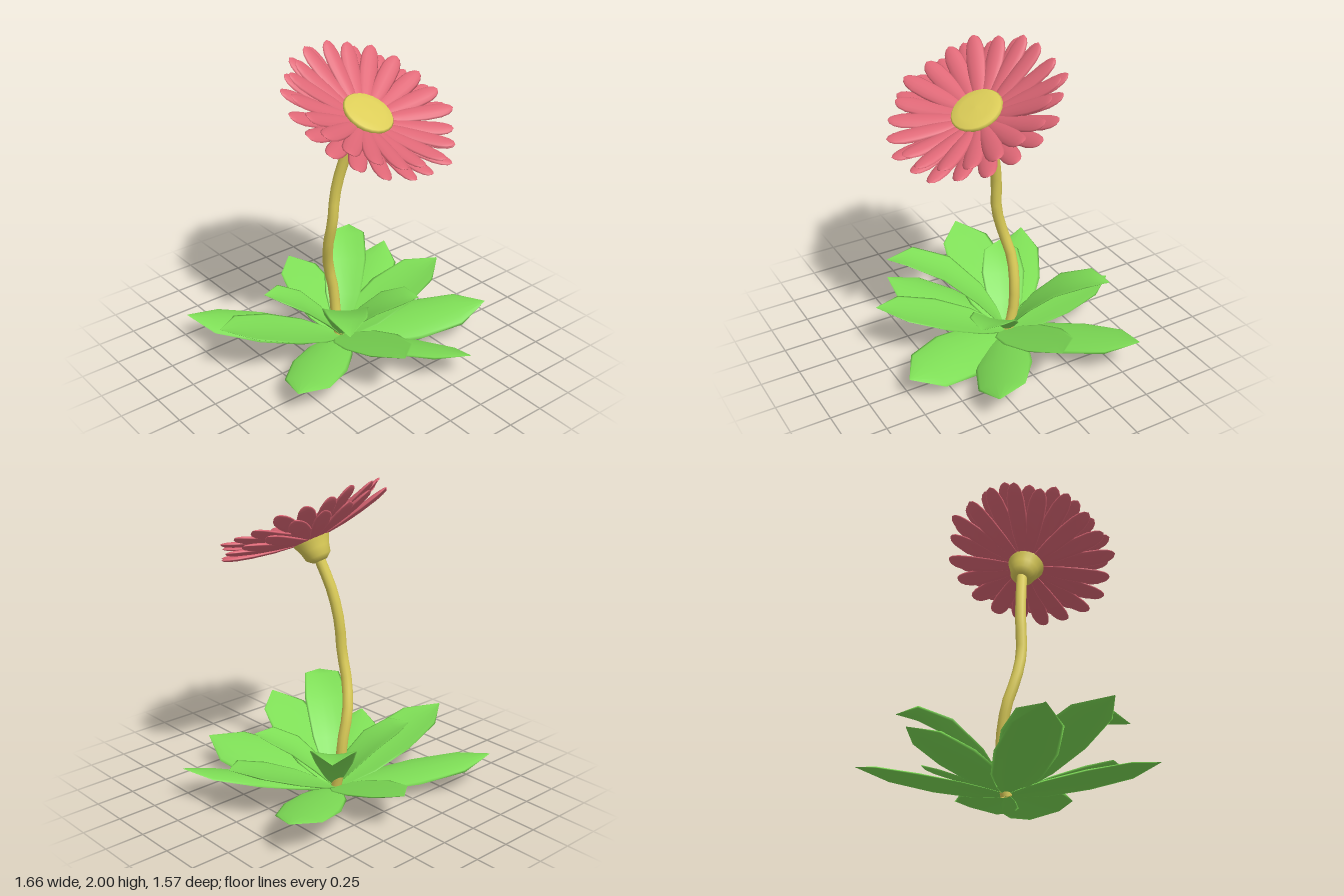
import * as THREE from 'three';

const paint = (color) => new THREE.MeshStandardMaterial({ color, side: THREE.DoubleSide });
const GREEN = paint(0x7ede56), PINK = paint(0xe06877), YELLOW = paint(0xdccd58);
const V = (x, y, z) => new THREE.Vector3(x, y, z);

function addMesh(parent, name, geometry, material) {
  const mesh = new THREE.Mesh(geometry, material);
  mesh.name = name;
  parent.add(mesh);
  return mesh;
}

// Lens-shaped cross-sections swept along a curve.
// profile: [t, halfWidth] stops; cup raises the edges; thick is the half thickness; roll banks the blade.
function blade(curve, profile, { scale = 1, cup, thick, roll = 0, sides = 14 }) {
  const pos = [], index = [];
  const widest = Math.max(...profile.map((p) => p[1]));
  for (const [t, width] of profile) {
    const p = curve.getPoint(t), dir = curve.getTangent(t);
    const side = V(0, 1, 0).cross(dir).normalize().applyAxisAngle(dir, roll);
    const normal = dir.clone().cross(side).normalize();
    const w = width * scale, k = width / widest;
    for (let j = 0; j < sides; j++) {
      const a = (j / sides) * Math.PI * 2, u = Math.cos(a);
      const q = p.clone().addScaledVector(side, u * w)
        .addScaledVector(normal, Math.sin(a) * thick * k + cup * k * u * u);
      pos.push(q.x, q.y, q.z);
    }
  }
  for (let i = 0; i < profile.length - 1; i++) {
    for (let j = 0; j < sides; j++) {
      const a = i * sides + j, b = i * sides + (j + 1) % sides;
      index.push(a, b, a + sides, b, b + sides, a + sides);
    }
  }
  const g = new THREE.BufferGeometry();
  g.setAttribute('position', new THREE.Float32BufferAttribute(pos, 3));
  g.setIndex(index);
  g.computeVertexNormals();
  return g;
}

const LEAF = [[0, 0.002], [0.02, 0.035], [0.1, 0.085], [0.25, 0.145], [0.52, 0.177], [0.81, 0.142], [1, 0.003]];
const PETAL = [[0, 0.004], [0.03, 0.03], [0.3, 0.05], [0.6, 0.059], [0.8, 0.056], [0.91, 0.044], [0.97, 0.027], [1, 0.001]];

// Each leaf: tip, width scale, cup, how far the middle arches above the straight line, roll
const LEAVES = {
  flatLeaf: [
    { tip: [-0.77, 0.2, -0.67], scale: 1, cup: -0.03, arch: 0.02, roll: 0 },
    { tip: [-0.69, 0.18, 0.43], scale: 1, cup: -0.03, arch: 0.03, roll: 0 },
    { tip: [0.37, 0.18, 0.78], scale: 1.08, cup: -0.03, arch: 0.03, roll: -0.3 },
    { tip: [0.83, 0.22, 0.43], scale: 1, cup: -0.03, arch: 0.02, roll: 0.22 },
    { tip: [0.81, 0.24, -0.57], scale: 1, cup: -0.02, arch: 0, roll: 0 },
  ],
  risingLeaf: [
    { tip: [-0.83, 0.37, -0.17], scale: 1.13, cup: 0.03, arch: 0, roll: 0 },
    { tip: [-0.15, 0.37, 0.75], scale: 1.05, cup: 0.03, arch: 0, roll: 0 },
    { tip: [0.8, 0.36, -0.01], scale: 1.13, cup: 0.03, arch: 0, roll: 0 },
    { tip: [0.13, 0.26, -0.79], scale: 0.95, cup: 0.02, arch: 0, roll: 0 },
  ],
  archedLeaf: [
    { tip: [-0.4, 0.52, 0.55], scale: 0.8, cup: 0.03, arch: 0.34, roll: 0 },
    { tip: [0.48, 0.49, -0.56], scale: 0.8, cup: 0.03, arch: 0.26, roll: 0 },
    { tip: [-0.42, 0.4, -0.29], scale: 0.8, cup: 0.03, arch: 0.14, roll: 0 },
    { tip: [0.37, 0.36, 0.29], scale: 0.8, cup: 0.03, arch: 0.14, roll: 0 },
  ],
};

function buildLeaves() {
  const leaves = new THREE.Group();
  leaves.name = 'leaves';
  const root = V(0.03, 0.02, -0.08);
  for (const [name, list] of Object.entries(LEAVES)) {
    for (const { tip, scale, cup, arch, roll } of list) {
      const end = V(...tip);
      const mid = root.clone().lerp(end, 0.5);
      mid.y += arch;
      const path = new THREE.QuadraticBezierCurve3(root, mid, end);
      addMesh(leaves, name, blade(path, LEAF, { scale, cup, thick: 0.012, roll }), GREEN);
    }
  }
  return leaves;
}

function buildFlowerHead() {
  const head = new THREE.Group();
  head.name = 'flowerHead';
  // Cup under the petals and the flat centre disc
  const cup = [[0, -0.225], [0.045, -0.22], [0.08, -0.19], [0.092, -0.14], [0.11, -0.1], [0.125, -0.06]];
  const disc = [[0.1, -0.06], [0.148, -0.03], [0.16, -0.005], [0.15, 0.006], [0.1, 0.014], [0, 0.018]];
  const lathe = (pts) => new THREE.LatheGeometry(pts.map(([r, y]) => new THREE.Vector2(r, y)), 24);
  addMesh(head, 'cup', lathe(cup), YELLOW);
  addMesh(head, 'centreDisc', lathe(disc), YELLOW);
  // Two rings of petals, the lower one turned by half a step
  const rings = [
    { name: 'upperPetal', y: [-0.04, 0.01, 0.085], reach: 0.52, turn: 0 },
    { name: 'lowerPetal', y: [-0.08, -0.04, 0.02], reach: 0.55, turn: 0.5 },
  ];
  const count = 20;
  for (const { name, y, reach, turn } of rings) {
    for (let i = 0; i < count; i++) {
      const r = reach + 0.015 * Math.sin(i * 2.4 + turn);
      const lift = 0.012 * Math.sin(i * 4.1);
      const path = new THREE.QuadraticBezierCurve3(V(0.09, y[0], 0), V(0.32, y[1] + lift, 0), V(r, y[2] + lift, 0));
      const petal = addMesh(head, name, blade(path, PETAL, { cup: -0.01, thick: 0.014, sides: 12 }), PINK);
      petal.rotation.y = ((i + turn) / count) * Math.PI * 2;
    }
  }
  head.position.set(0.06, 1.67, 0.145);
  head.rotation.set(0.48, 0, -0.12);
  return head;
}

export function createModel() {
  const flower = new THREE.Group();
  flower.name = 'flower';
  // Curving stem
  const path = new THREE.CatmullRomCurve3([
    V(0.03, 0.005, -0.09), V(0.03, 0.15, -0.13), V(0.02, 0.35, -0.145), V(-0.02, 0.54, -0.145),
    V(-0.055, 0.72, -0.1), V(-0.055, 0.9, -0.055), V(-0.04, 1.1, -0.045), V(-0.01, 1.3, -0.01), V(0.035, 1.49, 0.05),
  ]);
  addMesh(flower, 'stem', new THREE.TubeGeometry(path, 16, 0.034, 12), YELLOW);
  flower.add(buildLeaves(), buildFlowerHead());
  return flower;
}
